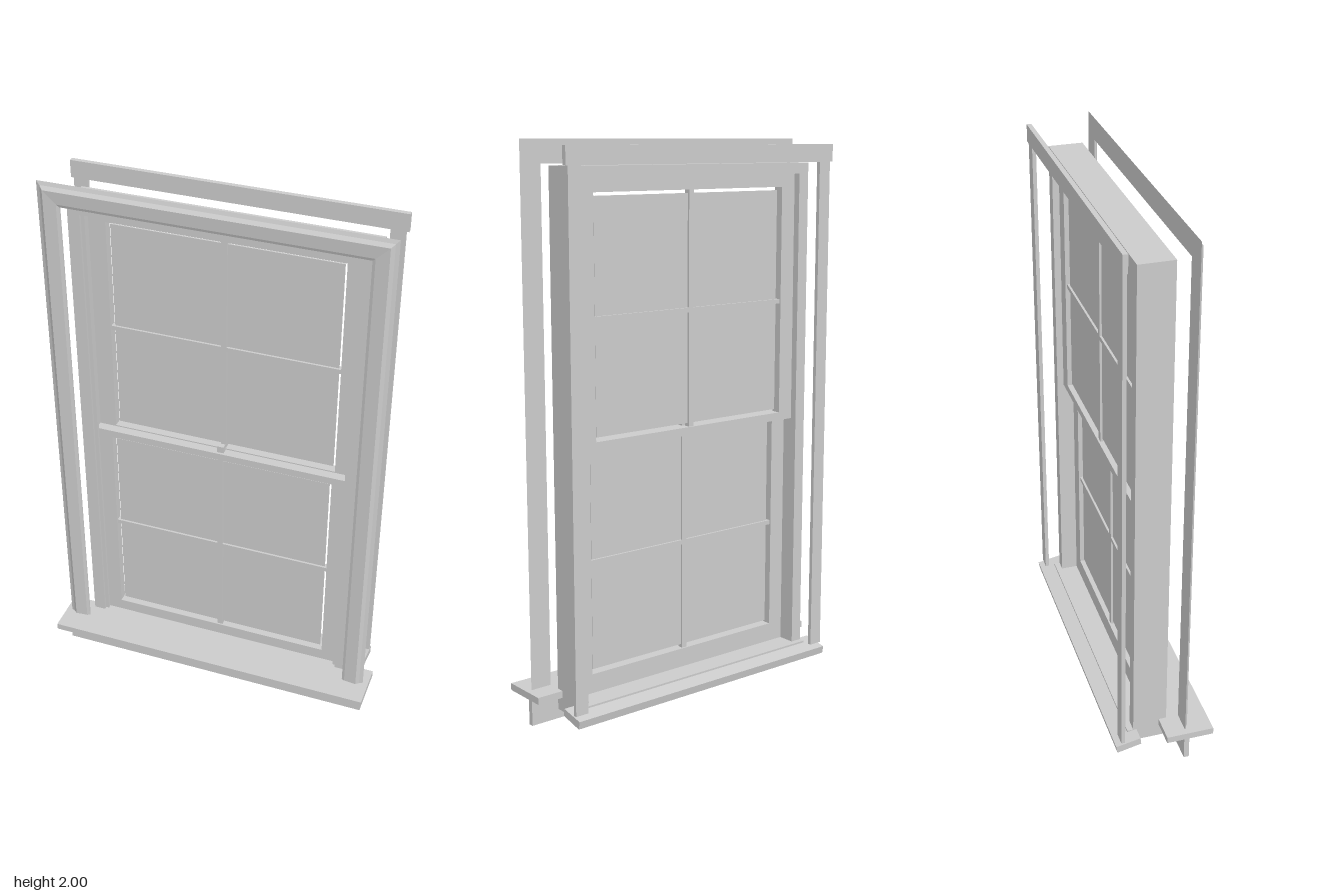
import * as THREE from 'three';

const material = new THREE.MeshStandardMaterial({ color: 0xcccccc, flatShading: true });

export function createModel() {
  const model = new THREE.Group();
  model.name = 'sashWindow';

  function add(geometry, name, parent = model) {
    const mesh = new THREE.Mesh(geometry, material);
    mesh.name = name;
    parent.add(mesh);
    return mesh;
  }

  // Box given by its limits on each axis
  function box(name, [x0, x1], [y0, y1], [z0, z1], parent) {
    const mesh = add(new THREE.BoxGeometry(x1 - x0, y1 - y0, z1 - z0), name, parent);
    mesh.position.set((x0 + x1) / 2, (y0 + y1) / 2, (z0 + z1) / 2);
    return mesh;
  }

  // Matching boxes on both sides, xIn to xOut from the centre
  function pair(name, xIn, xOut, y, z, parent) {
    box(name + 'Left', [xIn, xOut], y, z, parent);
    box(name + 'Right', [-xOut, -xIn], y, z, parent);
  }

  // Mitred three-sided trim: profile of [inset, z] swept up, across and down
  function mitredTrim(halfWidth, bottom, top, profile) {
    const rings = [[-1, 0], [-1, 1], [1, 1], [1, 0]].map(([side, high]) =>
      profile.map(([d, z]) => [side * (halfWidth - d), high ? top - d : bottom, z]));
    const positions = [];
    for (let i = 0; i < 3; i++) {
      for (let j = 0; j < profile.length; j++) {
        const k = (j + 1) % profile.length;
        const [a, b, c, d] = [rings[i][j], rings[i][k], rings[i + 1][k], rings[i + 1][j]];
        positions.push(...a, ...b, ...c, ...a, ...c, ...d);
      }
    }
    const geometry = new THREE.BufferGeometry();
    geometry.setAttribute('position', new THREE.Float32BufferAttribute(positions, 3));
    geometry.computeVertexNormals();
    return geometry;
  }

  // Interior trim: moulded casing, stool and apron
  add(mitredTrim(0.6, 0.131, 2, [
    [0, 0.073], [0.013, 0.078], [0.025, 0.088], [0.07, 0.084], [0.08, 0.08], [0.08, 0.073],
  ]), 'interiorCasing');
  box('stool', [-0.62, 0.62], [0.106, 0.131], [0, 0.172]);
  box('apron', [-0.6, 0.6], [0, 0.106], [0.071, 0.09]);

  // Jamb frame with its inner stops
  const jambZ = [-0.095, 0.028];
  pair('jamb', 0.477, 0.52, [0.106, 1.915], jambZ);
  box('headJamb', [-0.477, 0.477], [1.876, 1.915], jambZ);
  box('subSill', [-0.52, 0.52], [0.056, 0.106], [-0.117, 0.028]);
  pair('innerStop', 0.465, 0.477, [0.131, 1.876], [0.003, 0.016]);

  // Exterior sill, sloping down and outwards
  const sillShape = new THREE.Shape([
    [0.083, 0.106], [0.08, 0.08], [0.168, 0.06], [0.173, 0.088],
  ].map(([x, y]) => new THREE.Vector2(x, y)));
  const sill = new THREE.ExtrudeGeometry(sillShape, { depth: 1.14, bevelEnabled: false });
  sill.translate(0, 0, -0.57).rotateY(Math.PI / 2);
  // The outward direction of the section now lies along -z
  add(sill, 'exteriorSill');

  // Exterior casing
  pair('exteriorSideCasing', 0.52, 0.57, [0.1, 1.918], [-0.154, -0.14]);
  box('exteriorHeadCasing', [-0.58, 0.58], [1.918, 1.98], [-0.157, -0.14]);

  // One sash: stiles, rails, muntins and pane, with a slim gap around the pane
  function sash(name, [y0, y1], [openLow, openHigh], [z0, z1]) {
    const group = new THREE.Group();
    group.name = name;
    model.add(group);
    const mid = (z0 + z1) / 2;
    const inner = 0.415;
    const centre = (openLow + openHigh) / 2;
    const barZ = [mid - 0.011, mid + 0.011];
    pair('stile', inner, 0.476, [y0, y1], [z0, z1], group);
    box('bottomRail', [-inner, inner], [y0, openLow], [z0, z1], group);
    box('topRail', [-inner, inner], [openHigh, y1], [z0, z1], group);
    box('verticalMuntin', [-0.01, 0.01], [openLow, openHigh], barZ, group);
    box('horizontalMuntin', [-inner, inner], [centre - 0.008, centre + 0.008], barZ, group);
    box('pane', [-0.404, 0.404], [openLow + 0.012, openHigh - 0.012], [mid - 0.003, mid + 0.003], group);
  }
  sash('lowerSash', [0.107, 1.005], [0.176, 0.978], [-0.033, 0.001]);
  sash('upperSash', [0.978, 1.876], [1.007, 1.83], [-0.071, -0.036]);

  // Sash lock on the meeting rail
  box('sashLock', [-0.012, 0.012], [1.005, 1.03], [-0.028, -0.008]);

  return model;
}
